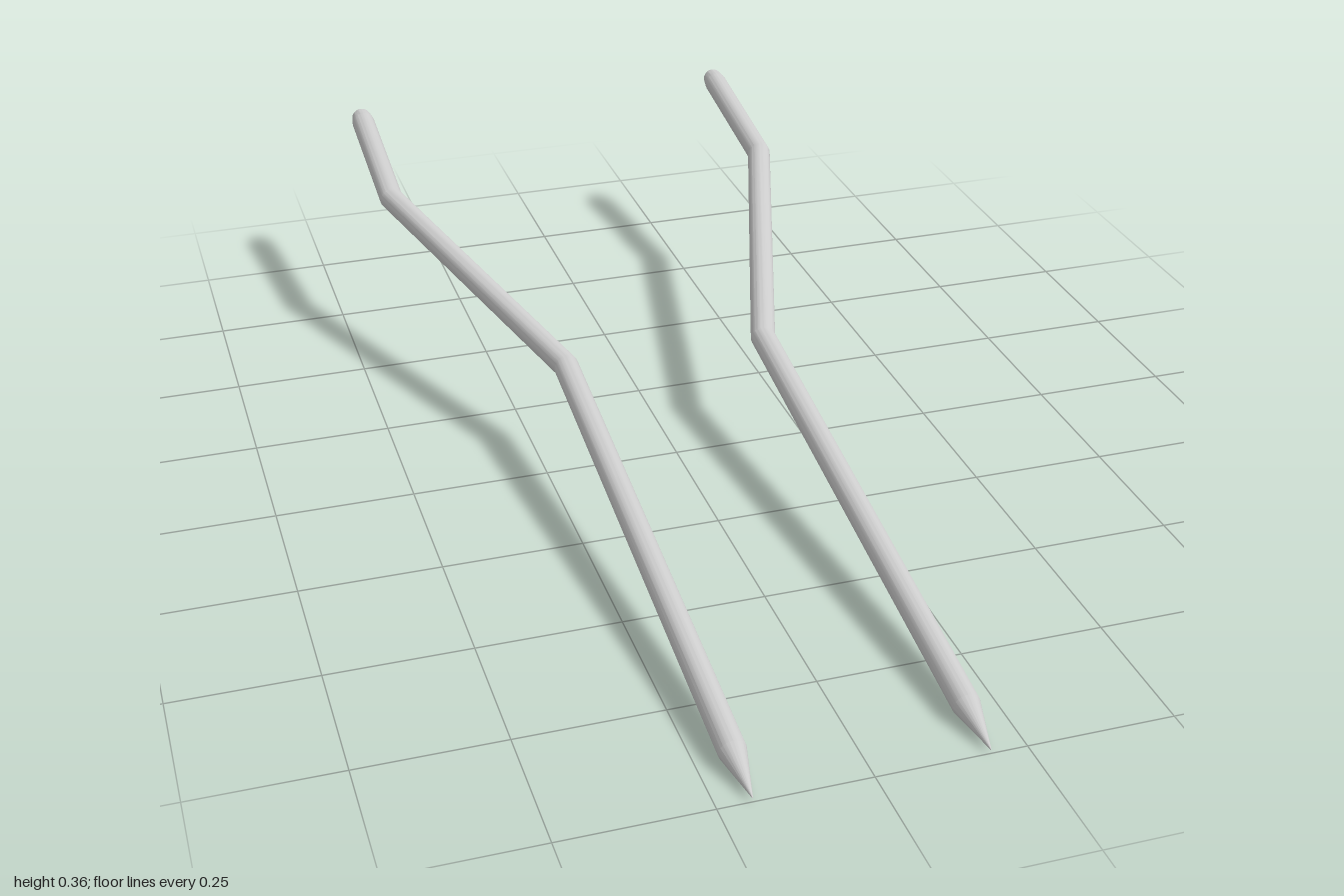
import * as THREE from 'three';
import { toCreasedNormals } from 'three/addons/utils/BufferGeometryUtils.js';

const SIDES = 24;
const RADIUS = 0.023;
const SLOPE = 0.168; // rise per unit towards the back

// Mitred tube: stations are [x, z, radius], all lying in one inclined plane
function rodGeometry(stations) {
  const pts = stations.map(([x, z]) => new THREE.Vector3(x, 0.0235 + (0.9 - z) * SLOPE, z));
  const normal = new THREE.Vector3(0, 1, SLOPE).normalize();
  const positions = [];
  const index = [];
  const last = pts.length - 1;
  pts.forEach((p, i) => {
    const before = pts[Math.max(i, 1)].clone().sub(pts[Math.max(i, 1) - 1]).normalize();
    const next = Math.min(i, last - 1);
    const after = pts[next + 1].clone().sub(pts[next]).normalize();
    const tangent = before.clone().add(after).normalize();
    const side = new THREE.Vector3().crossVectors(normal, tangent);
    const mitre = 1 / tangent.dot(after);
    for (let j = 0; j < SIDES; j++) {
      const a = (j / SIDES) * Math.PI * 2;
      const v = p.clone()
        .addScaledVector(side, Math.cos(a) * stations[i][2] * mitre)
        .addScaledVector(normal, Math.sin(a) * stations[i][2]);
      positions.push(v.x, v.y, v.z);
    }
  });
  for (let i = 0; i < last; i++) {
    for (let j = 0; j < SIDES; j++) {
      const k = (j + 1) % SIDES;
      const a = i * SIDES + j, b = i * SIDES + k;
      index.push(a, b, a + SIDES, b, b + SIDES, a + SIDES);
    }
  }
  // Flat cap on the blunt back end
  const centre = positions.length / 3;
  positions.push(...pts[last].toArray());
  for (let j = 0; j < SIDES; j++) {
    index.push(last * SIDES + j, last * SIDES + ((j + 1) % SIDES), centre);
  }
  const geometry = new THREE.BufferGeometry();
  geometry.setAttribute('position', new THREE.Float32BufferAttribute(positions, 3));
  geometry.setIndex(index);
  return toCreasedNormals(geometry, 0.29);
}

export function createModel() {
  const group = new THREE.Group();
  group.name = 'pairOfBentRods';
  const material = new THREE.MeshStandardMaterial({ color: 0xcccccc });

  const addRod = (name, inner, outer) => {
    const rod = new THREE.Mesh(rodGeometry([
      [inner, 1, 0.0005], // pointed tip
      [inner, 0.905, RADIUS],
      [inner, -0.06, RADIUS], // first bend
      [outer, -0.67, RADIUS], // second bend
      [outer, -0.965, RADIUS],
      [outer, -0.99, 0.019], // chamfered end
      [outer, -0.998, 0.014],
    ]), material);
    rod.name = name;
    group.add(rod);
  };
  addRod('leftRod', 0.189, 0.391);
  addRod('rightRod', -0.194, -0.395);
  return group;
}
